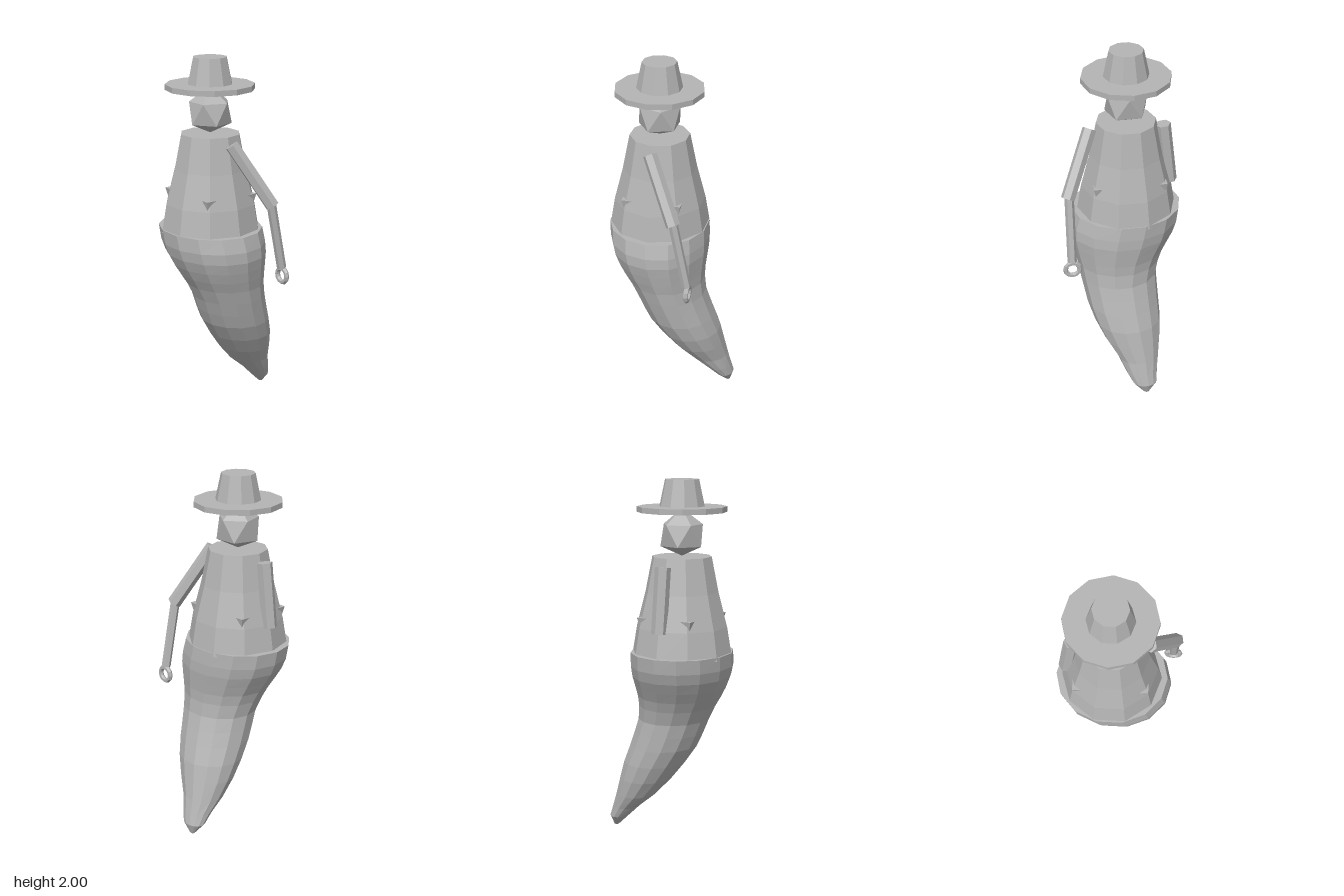
import * as THREE from 'three';
import { ConvexGeometry } from 'three/addons/geometries/ConvexGeometry.js';

const CX = -0.045, CZ = 0.08; // vertical axis of the figure

// Closed skin over horizontal rings [y, xMin, xMax, zMin, zMax], listed from bottom to top
function loft(rings, sides) {
  const pos = [], index = [];
  const centre = ([y, x0, x1, z0, z1]) => pos.push((x0 + x1) / 2, y, (z0 + z1) / 2);
  for (const [y, x0, x1, z0, z1] of rings) {
    for (let j = 0; j < sides; j++) {
      const a = (j / sides) * Math.PI * 2;
      pos.push((x0 + x1) / 2 + ((x1 - x0) / 2) * Math.cos(a), y, (z0 + z1) / 2 + ((z1 - z0) / 2) * Math.sin(a));
    }
  }
  const top = (rings.length - 1) * sides, low = rings.length * sides;
  centre(rings[0]);
  centre(rings[rings.length - 1]);
  for (let j = 0; j < sides; j++) {
    const k = (j + 1) % sides;
    for (let i = 0; i < top; i += sides) {
      index.push(i + j, i + sides + j, i + k, i + k, i + sides + j, i + sides + k);
    }
    index.push(low, j, k, low + 1, top + k, top + j);
  }
  const g = new THREE.BufferGeometry();
  g.setAttribute('position', new THREE.Float32BufferAttribute(pos, 3));
  g.setIndex(index);
  const flat = g.toNonIndexed();
  flat.computeVertexNormals();
  return flat;
}

// Ring of radius r around the figure's axis
const ring = (y, r) => [y, CX - r, CX + r, CZ - r, CZ + r];

export function createModel() {
  const group = new THREE.Group();
  const grey = new THREE.MeshStandardMaterial({ color: 0xb4b4b4, flatShading: true });
  grey.name = 'plain grey';

  const add = (name, geometry) => {
    const mesh = new THREE.Mesh(geometry, grey);
    mesh.name = name;
    group.add(mesh);
    return mesh;
  };

  // Hexagonal rod between two points
  const rod = (name, from, to, r) => {
    const a = new THREE.Vector3(...from), b = new THREE.Vector3(...to);
    const dir = b.clone().sub(a);
    const g = new THREE.CylinderGeometry(r, r, dir.length(), 6);
    g.rotateY(Math.PI / 2);
    const mesh = add(name, g);
    mesh.position.copy(a).add(b).multiplyScalar(0.5);
    mesh.quaternion.setFromUnitVectors(new THREE.Vector3(0, 1, 0), dir.normalize());
  };

  // Tapering lower body, curling backwards to a tip
  add('lowerBody', loft([
    [0.00, -0.115, -0.085, -0.335, -0.31],
    [0.06, -0.163, -0.025, -0.355, -0.25],
    [0.12, -0.172, 0.010, -0.340, -0.19],
    [0.20, -0.190, 0.050, -0.320, -0.095],
    [0.30, -0.207, 0.115, -0.300, -0.005],
    [0.40, -0.214, 0.165, -0.280, 0.07],
    [0.50, -0.212, 0.200, -0.248, 0.135],
    [0.58, -0.209, 0.216, -0.222, 0.17],
    [0.66, -0.207, 0.232, -0.198, 0.20],
    [0.74, -0.228, 0.246, -0.188, 0.24],
    [0.80, -0.252, 0.262, -0.190, 0.277],
    [0.86, -0.286, 0.276, -0.196, 0.311],
    [0.92, -0.320, 0.288, -0.202, 0.338],
    [0.98, -0.342, 0.286, -0.202, 0.354],
    [1.06, -0.353, 0.264, -0.196, 0.36],
  ], 14));

  // Torso, flaring towards the waist
  add('torso', loft([ring(1.04, 0.28), ring(1.20, 0.253), ring(1.39, 0.204), ring(1.585, 0.165)], 10));

  // Faceted head: two poles and two staggered rings of five
  const points = [new THREE.Vector3(CX, 1.587, CZ), new THREE.Vector3(CX, 1.845, CZ)];
  for (let i = 0; i < 5; i++) {
    const a = (i / 5) * Math.PI * 2;
    points.push(new THREE.Vector3(CX + 0.118 * Math.sin(a), 1.64, CZ + 0.118 * Math.cos(a)));
    points.push(new THREE.Vector3(CX - 0.114 * Math.sin(a), 1.757, CZ - 0.114 * Math.cos(a)));
  }
  add('head', new ConvexGeometry(points));

  // Hat
  add('hatBrim', loft([ring(1.825, 0.245), ring(1.855, 0.245)], 12));
  add('hatCrown', loft([ring(1.85, 0.126), ring(2.0, 0.094)], 10));

  // Left arm with a ring for a hand; the right arm is only a stub
  rod('leftUpperArm', [0.155, 1.55, 0.08], [0.303, 1.22, -0.085], 0.039);
  rod('leftForearm', [0.295, 1.23, -0.082], [0.297, 0.855, -0.158], 0.026);
  add('leftHandRing', new THREE.TorusGeometry(0.04, 0.014, 6, 12)).position.set(0.296, 0.81, -0.163);
  rod('rightUpperArm', [-0.25, 1.545, 0.08], [-0.292, 1.19, 0.08], 0.043);

  // Four tapered pegs around the waist
  for (const sx of [-1, 1]) {
    for (const sz of [-1, 1]) {
      const peg = new THREE.CylinderGeometry(0.05, 0.028, 0.07, 4);
      peg.rotateY(Math.PI / 4);
      add('waistPeg', peg).position.set(CX + sx * 0.168, 1.225, CZ + sz * 0.13);
    }
  }

  return group;
}
